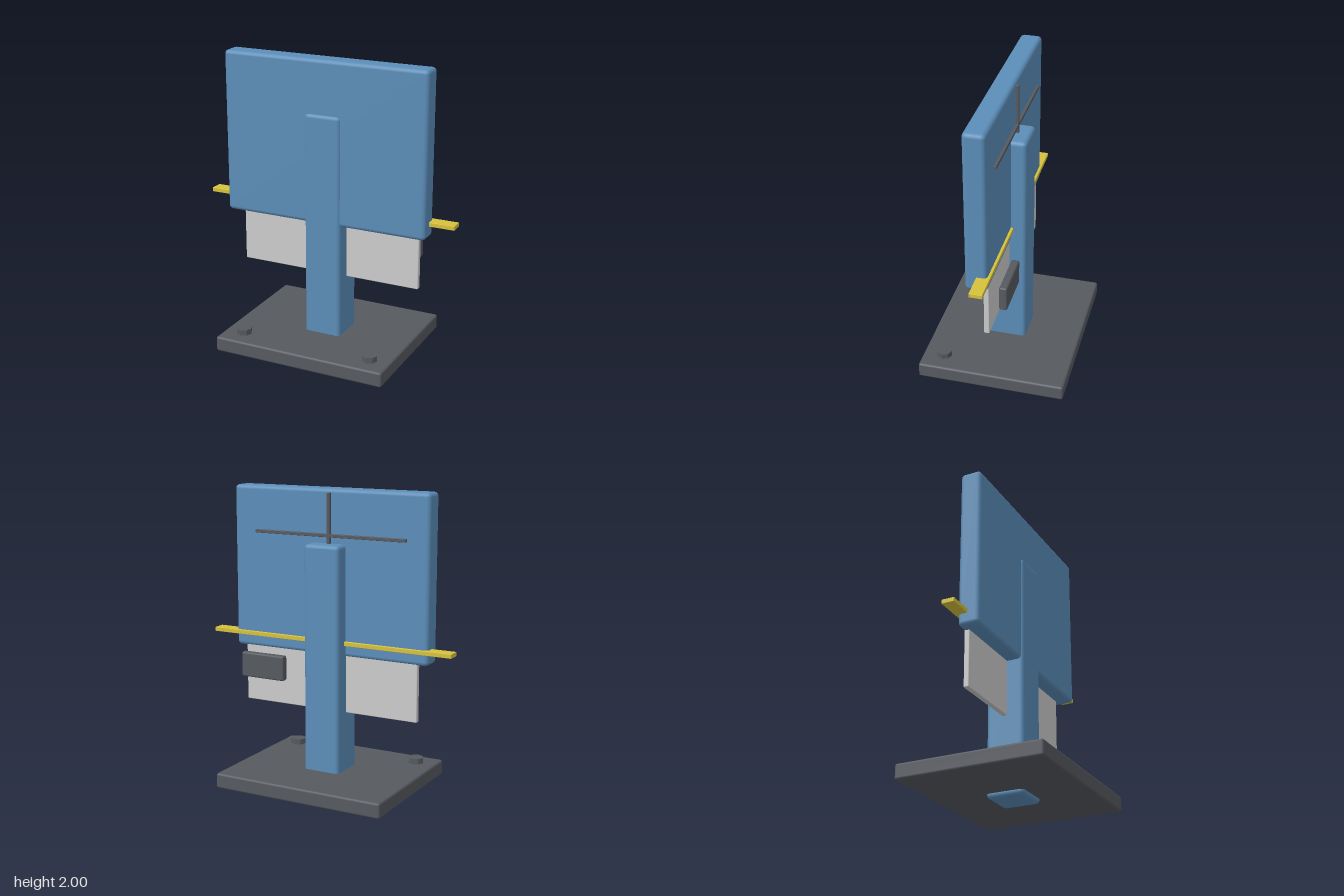
import * as THREE from 'three';
import { RoundedBoxGeometry } from 'three/addons/geometries/RoundedBoxGeometry.js';

const material = (color) => new THREE.MeshStandardMaterial({ color });
const blue = material(0x5b8db8);
const dark = material(0x565a60);
const yellow = material(0xd6c23c);
const pale = material(0xcccccc);

export function createModel() {
  const model = new THREE.Group();

  // Softly bevelled box given by its extents on each axis
  function box(name, mat, [x0, x1], [y0, y1], [z0, z1], bevel) {
    const size = [x1 - x0, y1 - y0, z1 - z0];
    const mesh = new THREE.Mesh(new RoundedBoxGeometry(...size, 2, bevel), mat);
    mesh.position.set((x0 + x1) / 2, (y0 + y1) / 2, (z0 + z1) / 2);
    mesh.name = name;
    model.add(mesh);
  }

  // Stand
  box('base', dark, [-0.614, 0.588], [0.035, 0.138], [-0.492, 0.492], 0.015);
  box('post', blue, [-0.13, 0.125], [0.005, 1.648], [-0.127, 0.13], 0.027);

  // Panel and the thin plate hanging below it
  box('panel', blue, [-0.713, 0.708], [0.91, 2], [-0.026, 0.117], 0.027);
  box('lowerPlate', pale, [-0.64, 0.634], [0.533, 1.1], [-0.016, 0.019], 0.006);

  // Flat bar through the panel
  box('crossBar', yellow, [-0.88, 0.876], [0.987, 1.016], [-0.043, 0.042], 0.003);

  // Crossed strips on the back of the panel
  box('horizontalStrip', dark, [-0.56, 0.536], [1.689, 1.711], [-0.045, -0.02], 0.003);
  box('verticalStrip', dark, [-0.023, -0.001], [1.43, 1.975], [-0.045, -0.02], 0.003);

  // Small block behind the lower plate
  box('rearBlock', dark, [0.285, 0.61], [0.717, 0.886], [-0.126, -0.073], 0.012);

  // Bolts on the base
  for (const x of [-0.476, 0.447]) {
    const bolt = new THREE.Mesh(new THREE.CylinderGeometry(0.052, 0.052, 0.06, 8), dark.clone());
    bolt.material.flatShading = true;
    bolt.position.set(x, 0.146, 0.352);
    bolt.name = 'bolt';
    model.add(bolt);
  }

  return model;
}
